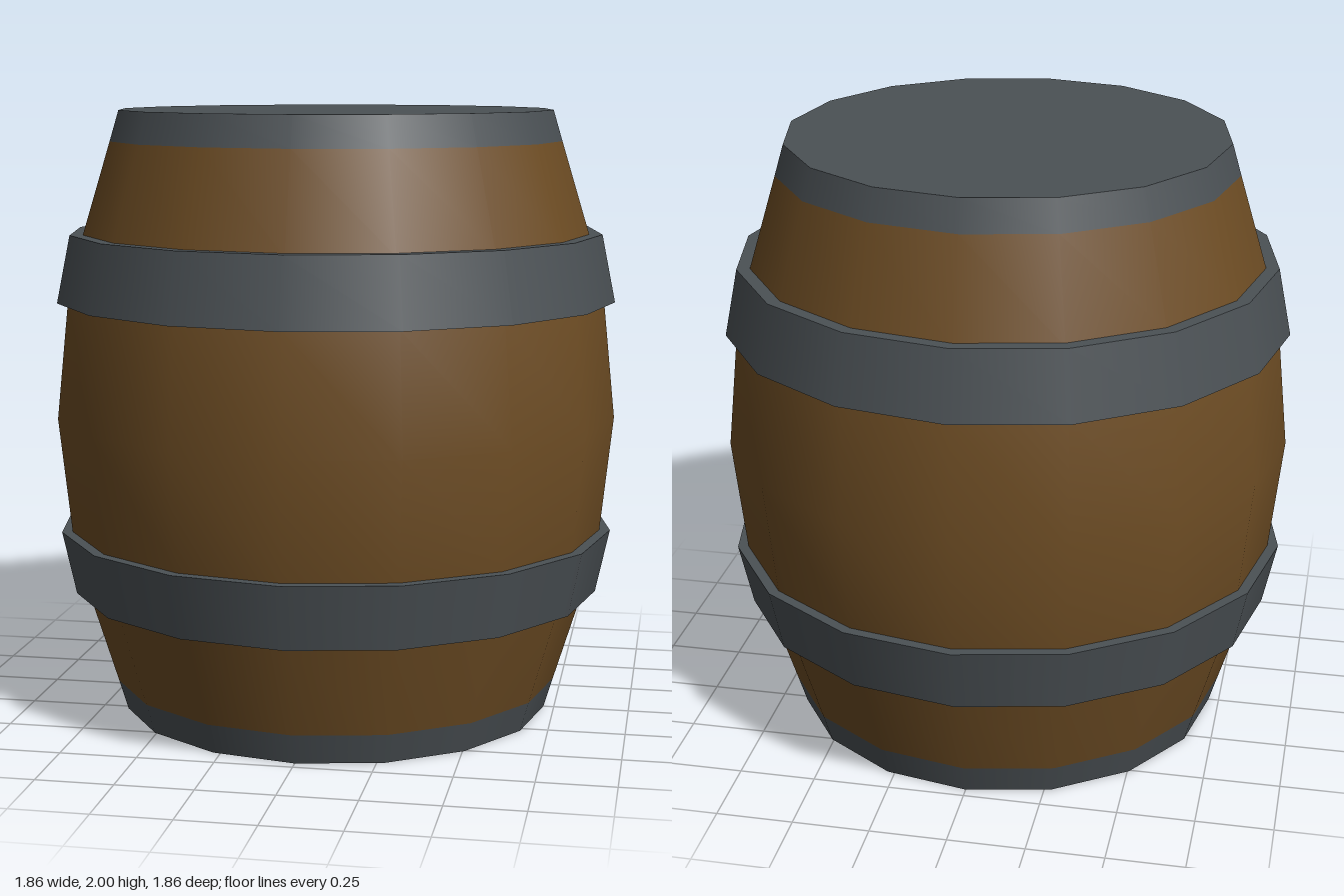
import * as THREE from 'three';
import { mergeGeometries } from 'three/addons/utils/BufferGeometryUtils.js';

const SIDES = 16;

export function createModel() {
  const wood = new THREE.MeshStandardMaterial({ color: 0x6e4d24 });
  wood.name = 'brownWood';
  const iron = new THREE.MeshStandardMaterial({ color: 0x4b5155 });
  iron.name = 'greyIron';

  const barrel = new THREE.Group();
  barrel.name = 'barrel';

  const lathe = (points) =>
    new THREE.LatheGeometry(points.map(([r, y]) => new THREE.Vector2(r, y)), SIDES);

  // Each profile segment is its own lathe: smooth around, sharp between segments
  const creasedLathe = (points) =>
    mergeGeometries(points.slice(1).map((p, i) => lathe([points[i], p])));

  const add = (name, geometry, material) => {
    const mesh = new THREE.Mesh(geometry, material);
    mesh.name = name;
    barrel.add(mesh);
    return mesh;
  };

  // Bulging staves
  add('staves', lathe([
    [0.745, 0.1], [0.84, 0.41], [0.89, 0.62], [0.93, 1],
    [0.89, 1.38], [0.84, 1.59], [0.745, 1.9],
  ]), wood);

  // Raised hoops, wider towards the middle of the barrel
  add('lowerHoop', creasedLathe([
    [0.83, 0.41], [0.88, 0.41], [0.925, 0.62], [0.88, 0.62],
  ]), iron);
  add('upperHoop', creasedLathe([
    [0.88, 1.38], [0.925, 1.38], [0.88, 1.6], [0.83, 1.6],
  ]), iron);

  // Flush end bands with flat heads
  add('bottomBand', lathe([[0.715, 0], [0.745, 0.1]]), iron);
  add('topBand', lathe([[0.745, 1.9], [0.715, 2]]), iron);
  add('bottomHead', lathe([[0, 0], [0.715, 0]]), iron);
  add('topHead', lathe([[0.715, 2], [0, 2]]), iron);

  return barrel;
}
